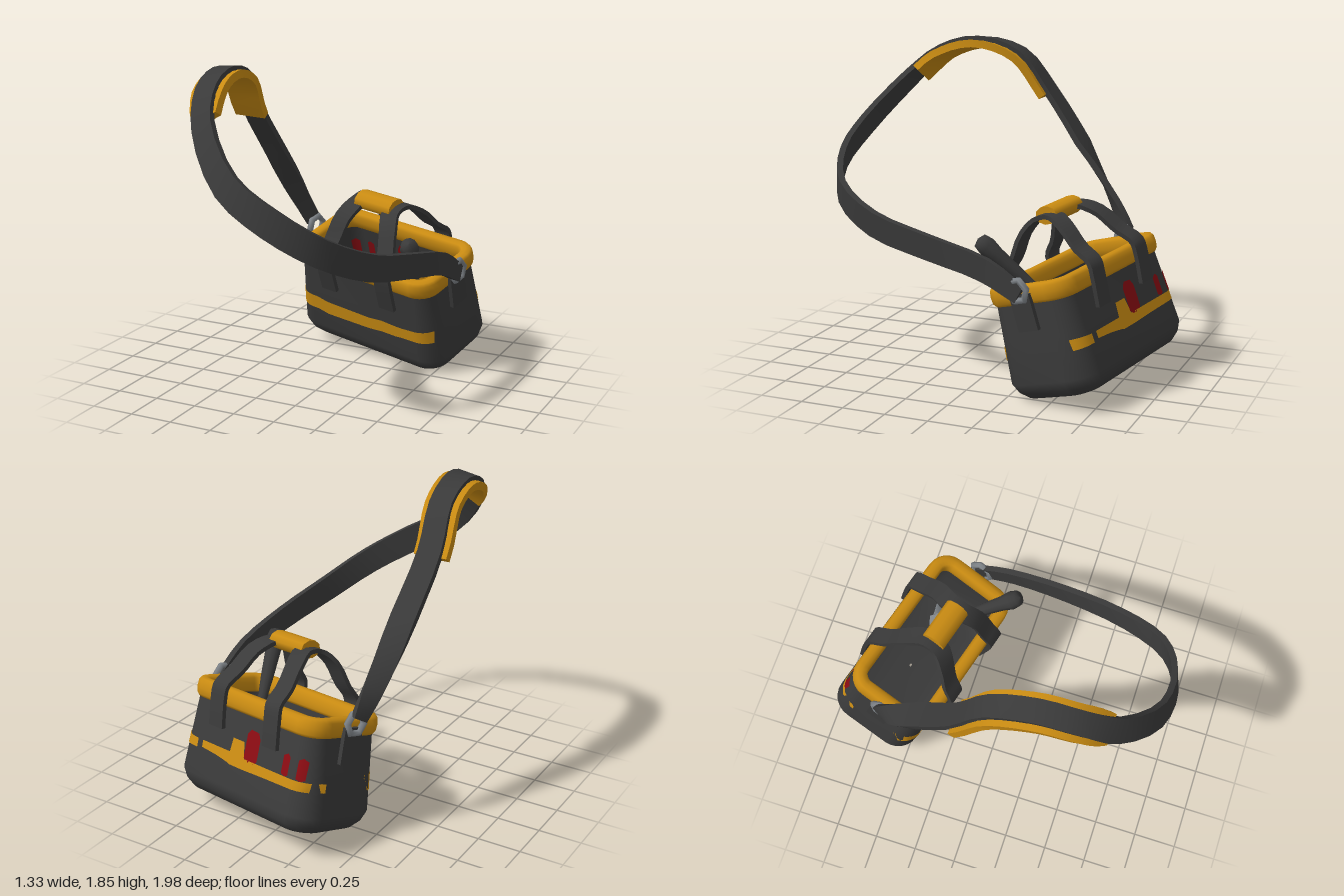
import * as THREE from 'three';

const V = (x, y, z) => new THREE.Vector3(x, y, z);
const lerp = THREE.MathUtils.lerp;

function surface(pos, idx) {
  const g = new THREE.BufferGeometry();
  g.setAttribute('position', new THREE.Float32BufferAttribute(pos, 3));
  g.setIndex(idx);
  g.computeVertexNormals();
  return g;
}

// Rounded rectangle outline at height y
function ring(y, hw, hd, r) {
  const out = [];
  [[1, 1], [-1, 1], [-1, -1], [1, -1]].forEach(([sx, sz], q) => {
    for (let k = 0; k <= 6; k++) {
      const t = (q + k / 6) * Math.PI / 2;
      out.push([sx * (hw - r) + r * Math.cos(t), y, sz * (hd - r) + r * Math.sin(t)]);
    }
  });
  return out;
}

// Skin over a list of outlines
function loft(rings, closed = false) {
  const n = rings[0].length, m = rings.length, idx = [];
  for (let i = 0; i < (closed ? m : m - 1); i++) for (let j = 0; j < n; j++) {
    const a = i * n + j, b = i * n + (j + 1) % n;
    const c = ((i + 1) % m) * n + j, d = ((i + 1) % m) * n + (j + 1) % n;
    idx.push(a, b, c, b, d, c);
  }
  return surface(rings.flat(2), idx);
}

// Flat band along a curve; each key is [position, width direction, width]
function band(keys, { from = 0, to = 1, steps = 28, thick = 0.03, drop = 0, width = null }) {
  const curve = new THREE.CatmullRomCurve3(keys.map(k => k[0]), false, 'centripetal');
  const sections = [];
  for (let i = 0; i <= steps; i++) {
    const u = lerp(from, to, i / steps), f = u * (keys.length - 1);
    const k = Math.min(Math.floor(f), keys.length - 2), s = f - k;
    const p = curve.getPoint(u), t = curve.getTangent(u);
    const w = keys[k][1].clone().lerp(keys[k + 1][1], s);
    w.addScaledVector(t, -w.dot(t)).normalize();
    const nrm = w.clone().cross(t);
    const hw = (width ? width(i / steps) : lerp(keys[k][2], keys[k + 1][2], s)) / 2;
    p.addScaledVector(nrm, -drop);
    sections.push([[1, 1], [-1, 1], [-1, -1], [1, -1]].map(([a, b]) =>
      p.clone().addScaledVector(w, a * hw).addScaledVector(nrm, b * thick / 2).toArray()));
  }
  const pos = [], idx = [];
  for (let e = 0; e < 4; e++) {
    const base = pos.length / 3;
    sections.forEach(s => pos.push(...s[e], ...s[(e + 1) % 4]));
    for (let i = 0; i < steps; i++) {
      const a = base + i * 2;
      idx.push(a, a + 2, a + 1, a + 1, a + 2, a + 3);
    }
  }
  const base = pos.length / 3;
  pos.push(...sections[0].flat(), ...sections[steps].flat());
  idx.push(base, base + 1, base + 2, base, base + 2, base + 3);
  idx.push(base + 4, base + 6, base + 5, base + 4, base + 7, base + 6);
  return surface(pos, idx);
}

// Half width, half depth and corner radius of the bag wall at height y
function wall(y) {
  const t = -y / 0.48;
  return [lerp(0.49, 0.54, t), lerp(0.25, 0.283, t), lerp(0.1, 0.14, t)];
}

// Painted sheet on the front (side 1) or back (side -1); columns are [x, low, high]
function paint(side, columns, offset) {
  const pos = [], idx = [];
  let count = 0;
  for (let i = 0; i < columns.length - 1; i++) for (let k = 0; k <= 8; k++) {
    const [x, lo, hi] = columns[i].map((v, j) => lerp(v, columns[i + 1][j], k / 8));
    for (const y of [lo, hi]) {
      const [hw, hd, r] = wall(y), q = Math.min(Math.max(0, Math.abs(x) - (hw - r)), r);
      pos.push(x, y, side * (hd - r + Math.sqrt(r * r - q * q) + offset));
    }
    if (count++ > 0) {
      const a = pos.length / 3 - 4;
      idx.push(a, a + 2, a + 1, a + 1, a + 2, a + 3);
    }
  }
  return surface(pos, idx);
}

function basis(x, yOrZ, useY, origin) {
  const X = x.clone().normalize();
  const Y = useY ? yOrZ.clone().normalize() : yOrZ.clone().cross(X).normalize();
  const Z = X.clone().cross(Y).normalize();
  return new THREE.Matrix4().makeBasis(Y.clone().cross(Z), Y, Z).setPosition(origin);
}

export function createModel() {
  const mat = (name, color, both) => {
    const m = new THREE.MeshStandardMaterial({ color });
    m.name = name;
    if (both) m.side = THREE.DoubleSide;
    return m;
  };
  const fabric = mat('dark fabric', 0x3a3a3a, true);
  const yellow = mat('yellow', 0xc98b12, true);
  const red = mat('red', 0x8a0c12, true);
  const metal = mat('grey metal', 0x80858a);

  const model = new THREE.Group();
  const bag = new THREE.Group();
  bag.name = 'bag';
  model.add(bag);
  const add = (parent, name, geo, m) => {
    const mesh = new THREE.Mesh(geo, m);
    mesh.name = name;
    parent.add(mesh);
    return mesh;
  };

  // Open bag body
  add(bag, 'body', loft([
    ring(0, ...wall(0)), ring(-0.24, ...wall(-0.24)), ring(-0.48, ...wall(-0.48)),
    ring(-0.535, 0.52, 0.265, 0.135), ring(-0.575, 0.485, 0.23, 0.12), ring(-0.592, 0.43, 0.18, 0.1),
    ring(-0.598, 0.25, 0.09, 0.05), ring(-0.6, 0.01, 0.006, 0.004)]), fabric);

  // Padded rim
  const rim = [];
  for (let i = 0; i < 12; i++) {
    const t = i / 12 * Math.PI * 2, c = Math.cos(t), s = Math.sin(t);
    const dx = 0.042 * Math.sign(c) * Math.abs(c) ** 0.7;
    rim.push(ring(-0.056 * Math.sign(s) * Math.abs(s) ** 0.7, 0.475 + dx, 0.238 + dx, 0.09 + dx));
  }
  add(bag, 'rim', loft(rim, true), yellow);

  // Painted bands and marks, showing on both faces of the wall
  const marks = [
    ['frontStripe', yellow, 1, [[-0.52, -0.36, -0.27], [-0.35, -0.36, -0.275], [-0.27, -0.375, -0.29],
      [0.05, -0.37, -0.295], [0.15, -0.36, -0.285], [0.25, -0.36, -0.29], [0.3, -0.355, -0.29], [0.5, -0.35, -0.275]]],
    ['backStripe', yellow, -1, [[-0.53, -0.34, -0.29], [-0.2, -0.345, -0.29], [-0.02, -0.35, -0.29], [0, -0.35, -0.2],
      [0.09, -0.35, -0.2], [0.1, -0.345, -0.28], [0.2, -0.33, -0.28], [0.33, -0.32, -0.28]]],
    ['backStripeEnd', yellow, -1, [[0.37, -0.33, -0.28], [0.5, -0.33, -0.27]]],
    ['wideMark', red, -1, [[-0.12, -0.28, -0.16], [-0.1, -0.3, -0.125], [-0.04, -0.3, -0.12], [-0.015, -0.28, -0.15]]],
    ['narrowMark', red, -1, [[-0.365, -0.28, -0.18], [-0.345, -0.29, -0.165], [-0.315, -0.28, -0.18]]],
    ['outerMark', red, -1, [[-0.475, -0.28, -0.18], [-0.45, -0.29, -0.165], [-0.425, -0.28, -0.18]]]];
  for (const [name, m, side, columns] of marks)
    for (const offset of [0.005, -0.005]) add(bag, name, paint(side, columns, offset), m);

  // Two carrying handles joined by a grip
  const half = [[0.22, -0.17, 0.285], [0.22, 0, 0.3], [0.215, 0.07, 0.295], [0.2, 0.15, 0.22],
    [0.17, 0.27, 0.14], [0.13, 0.335, 0.05]];
  for (const s of [-1, 1]) {
    const pts = [...half, ...half.slice().reverse().map(([x, y, z]) => [x, y, -z])];
    add(bag, 'handle', band(pts.map(([x, y, z]) => [V(s * x, y, z), V(1, 0, 0), 0.11]), { steps: 30, thick: 0.025 }), fabric);
  }
  const grip = add(bag, 'grip', new THREE.CylinderGeometry(0.065, 0.065, 0.26, 10), yellow);
  grip.rotation.z = Math.PI / 2;
  grip.position.set(0, 0.34, 0);
  grip.scale.set(0.8, 1, 1.1);

  // Side tabs with metal rings
  for (const s of [-1, 1]) {
    add(bag, 'sideTab', new THREE.BoxGeometry(0.025, 0.2, 0.13), fabric).position.set(s * 0.525, -0.09, 0);
    const loop = add(bag, 'ring', new THREE.TorusGeometry(0.062, 0.02, 6, 6), metal);
    loop.rotation.y = Math.PI / 2;
    loop.position.set(s * 0.54, 0.035, 0);
  }
  bag.applyMatrix4(basis(V(1, -0.075, 0.25), V(-0.25, -0.278, 0.927), false, V(0.095, 0.655, -0.485)));

  // Shoulder strap
  const strap = [
    [V(0.62, 0.63, -0.36), V(0, 0.9, -0.4), 0.1],
    [V(0.60, 0.74, -0.15), V(0, 1, -0.3), 0.13],
    [V(0.56, 0.82, 0.2), V(0.1, 1, -0.2), 0.14],
    [V(0.48, 0.9, 0.57), V(0.2, 1, -0.2), 0.15],
    [V(0.33, 1.03, 0.84), V(0.35, 0.9, -0.25), 0.155],
    [V(0.1, 1.18, 0.95), V(0.5, 0.8, -0.25), 0.16],
    [V(-0.16, 1.34, 0.93), V(0.65, 0.7, -0.1), 0.155],
    [V(-0.4, 1.6, 0.75), V(0.9, 0.45, 0.1), 0.14],
    [V(-0.48, 1.77, 0.57), V(1, 0.2, 0), 0.13],
    [V(-0.51, 1.835, 0.34), V(1, 0.12, 0), 0.13],
    [V(-0.54, 1.765, 0.09), V(1, 0, 0), 0.13],
    [V(-0.57, 1.55, -0.08), V(1, -0.1, 0), 0.14],
    [V(-0.54, 1.25, -0.3), V(1, -0.1, 0), 0.15],
    [V(-0.49, 0.92, -0.52), V(0.8, 0.3, -0.5), 0.11],
    [V(-0.45, 0.76, -0.61), V(0.4, 0.4, -0.8), 0.09]];
  add(model, 'shoulderStrap', band(strap, { steps: 42, thick: 0.035 }), fabric);
  add(model, 'shoulderPad', band(strap, {
    from: 0.515, to: 0.79, steps: 14, thick: 0.045, drop: 0.03,
    width: t => 0.2 - 0.03 * (t < 0.1 ? 1 - t * 10 : 0),
  }), yellow);

  // Hammer leaning in the bag
  const hammer = new THREE.Group();
  hammer.name = 'hammer';
  model.add(hammer);
  const foot = V(0.29, 0.43, -0.52), dir = V(0.43, 0.84, -0.07).sub(foot), len = dir.length();
  const profile = [[0, -0.04], [0.028, -0.04], [0.028, 0.25], [0.036, 0.35], [0.045, len - 0.1], [0.056, len - 0.03],
    [0.045, len + 0.02], [0, len + 0.035]];
  add(hammer, 'hammerHandle', new THREE.LatheGeometry(profile.map(([r, y]) => new THREE.Vector2(r, y)), 10), fabric);
  add(hammer, 'hammerHead', new THREE.BoxGeometry(0.1, 0.08, 0.08), metal);
  const face = add(hammer, 'hammerFace', new THREE.CylinderGeometry(0.045, 0.045, 0.09, 10), metal);
  face.rotation.z = Math.PI / 2;
  face.position.x = -0.09;
  const claw = add(hammer, 'hammerClaw', new THREE.CylinderGeometry(0.015, 0.05, 0.13, 4), metal);
  claw.rotation.z = -Math.PI / 2;
  claw.position.x = 0.11;
  const along = V(0.97, 0, -0.22), up = dir.clone().normalize();
  along.addScaledVector(up, -along.dot(up));
  hammer.applyMatrix4(basis(along, up, true, foot));

  return model;
}
